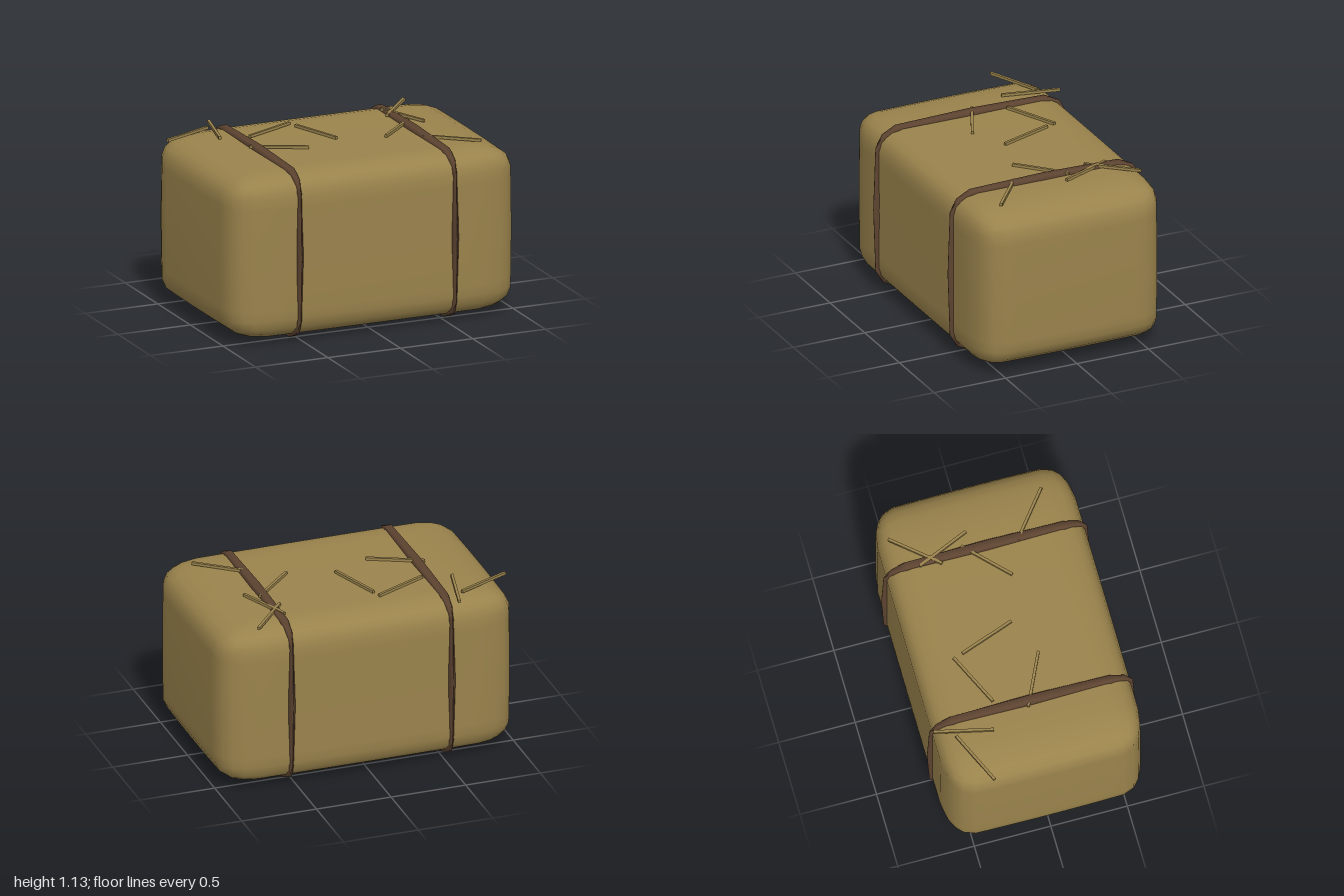
import * as THREE from 'three';
import { mergeVertices } from 'three/addons/utils/BufferGeometryUtils.js';

const MID_Y = 0.573;

// Rounded, slightly bulging block: a gridded cube rounded at the corners, then stretched
function baleGeometry() {
  let geo = new THREE.BoxGeometry(2, 2, 2, 16, 16, 16);
  geo.deleteAttribute('uv');
  geo.deleteAttribute('normal');
  geo = mergeVertices(geo);
  const pos = geo.attributes.position;
  const p = new THREE.Vector3(), core = new THREE.Vector3(), q = new THREE.Vector3();
  const r = 0.25;
  for (let i = 0; i < pos.count; i++) {
    p.fromBufferAttribute(pos, i);
    core.copy(p).clampScalar(-(1 - r), 1 - r);
    p.sub(core).setLength(r).add(core);
    q.set(
      p.x * (1 - 0.009 * (p.y * p.y + p.z * p.z)),
      p.y * (1 - 0.005 * (p.x * p.x + p.z * p.z)),
      p.z * (1 - 0.005 * (p.x * p.x + p.y * p.y)));
    pos.setXYZ(i, q.x * 0.992, q.y * 0.537, q.z * 0.65);
  }
  geo.computeVertexNormals();
  return geo;
}

// Closed band around the bale; it is broad and flat above and below, narrow and ridged on the sides
function strapGeometry() {
  // one quarter of the loop: z, y from the middle, half width, half width of the flat outside
  const quarter = [
    [0.68, 0, 0.023, 0.002], [0.665, 0.425, 0.018, 0.002], [0.615, 0.508, 0.025, 0.012],
    [0.52, 0.552, 0.03, 0.02], [0, 0.563, 0.036, 0.023]];
  const loop = [...quarter];
  for (let i = 3; i >= 0; i--) loop.push([-quarter[i][0], ...quarter[i].slice(1)]);
  for (let i = 7; i >= 1; i--) loop.push([loop[i][0], -loop[i][1], loop[i][2], loop[i][3]]);
  const n = loop.length, verts = [], index = [];
  loop.forEach(([z, y, w, a], i) => {
    const prev = loop[(i + n - 1) % n], next = loop[(i + 1) % n];
    const nrm = new THREE.Vector2(next[1] - prev[1], prev[0] - next[0]).normalize();
    const section = [[-a, 0], [a, 0], [w, -0.028], [a, -0.056], [-a, -0.056], [-w, -0.028]];
    for (const [x, d] of section) verts.push(x, y + nrm.y * d, z + nrm.x * d);
    for (let k = 0; k < 6; k++) {
      const k2 = (k + 1) % 6, j = (i + 1) % n;
      const A = i * 6 + k, B = i * 6 + k2, C = j * 6 + k2, D = j * 6 + k;
      index.push(A, B, C, A, C, D);
    }
  });
  const geo = new THREE.BufferGeometry();
  geo.setAttribute('position', new THREE.Float32BufferAttribute(verts, 3));
  geo.setIndex(index);
  geo.computeVertexNormals();
  return geo;
}

export function createModel() {
  const group = new THREE.Group();
  const hay = new THREE.MeshStandardMaterial({ color: 0x9a834c });
  hay.name = 'hay';
  const twine = new THREE.MeshStandardMaterial({ color: 0x5e4431 });
  twine.name = 'brown twine';

  const add = (name, geo, mat, x, y, z) => {
    const mesh = new THREE.Mesh(geo, mat);
    mesh.name = name;
    mesh.position.set(x, y, z);
    group.add(mesh);
    return mesh;
  };

  add('bale', baleGeometry(), hay, 0.005, MID_Y, 0);

  // Two bands of twine
  const strap = strapGeometry();
  add('rightStrap', strap, twine, -0.535, MID_Y, 0);
  add('leftStrap', strap, twine, 0.537, MID_Y, 0);

  // Loose straws lying on top: x, z of both ends
  const straws = [
    [-0.995, -0.365, -0.65, -0.52], [-0.585, -0.65, -0.67, -0.28], [-0.485, -0.235, -0.14, -0.395],
    [-0.125, -0.335, 0, 0.02], [-0.58, -0.03, -0.24, 0.13], [0.735, -0.58, 0.49, -0.295],
    [0.51, -0.435, 0.655, -0.095], [0.3, 0.11, 0.57, -0.15], [0.515, 0.205, 0.81, 0.44]];
  straws.forEach(([x1, z1, x2, z2], i) => {
    const geo = new THREE.BoxGeometry(Math.hypot(x2 - x1, z2 - z1), 0.018, 0.018);
    const straw = add('straw' + (i + 1), geo, hay, (x1 + x2) / 2, 1.122, (z1 + z2) / 2);
    straw.rotation.y = -Math.atan2(z2 - z1, x2 - x1);
  });
  return group;
}
